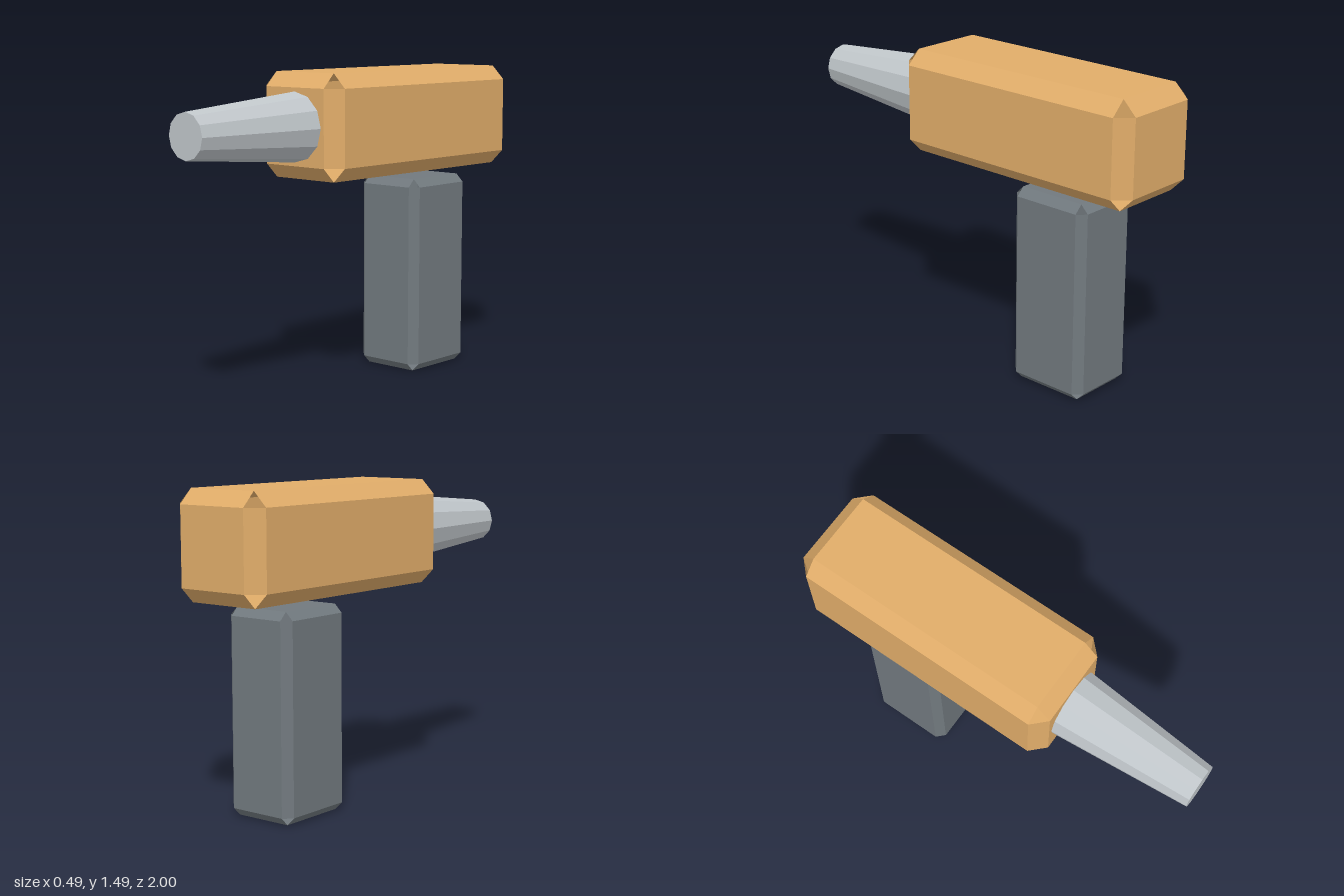
import * as THREE from 'three';

function material(name, color) {
  const m = new THREE.MeshStandardMaterial({ color, flatShading: true, side: THREE.DoubleSide });
  m.name = name;
  return m;
}

// Box with bevelled edges and open corners; size and bevel in units, centred on the origin.
function bevelledBox(size, bevel) {
  const half = size.map((s) => s / 2);
  const positions = [];
  // Adds a quad, turned so that it faces away from the centre.
  const quad = (corners) => {
    const [a, b, c, d] = corners.map((p) => new THREE.Vector3(...p));
    const normal = b.clone().sub(a).cross(c.clone().sub(a));
    const mid = a.clone().add(c);
    const order = normal.dot(mid) > 0 ? [a, b, c, a, c, d] : [a, c, b, a, d, c];
    for (const v of order) positions.push(v.x, v.y, v.z);
  };
  // Corner of the flat face on one axis: full extent there, inset on the others.
  const point = (signs, axis) => signs.map((s, i) => s * (half[i] - (i === axis ? 0 : bevel)));
  for (let u = 0; u < 3; u++) {
    const v = (u + 1) % 3, w = (u + 2) % 3;
    const signs = (a, b, c) => {
      const s = [0, 0, 0];
      s[u] = a; s[v] = b; s[w] = c;
      return s;
    };
    for (const a of [-1, 1]) {
      // flat face
      quad([[-1, -1], [1, -1], [1, 1], [-1, 1]].map(([b, c]) => point(signs(a, b, c), u)));
      // bevels between this face and the next axis' faces
      for (const b of [-1, 1]) {
        quad([
          point(signs(a, b, -1), u), point(signs(a, b, 1), u),
          point(signs(a, b, 1), v), point(signs(a, b, -1), v),
        ]);
      }
    }
  }
  const g = new THREE.BufferGeometry();
  g.setAttribute('position', new THREE.Float32BufferAttribute(positions, 3));
  g.computeVertexNormals();
  return g;
}

export function createModel() {
  const group = new THREE.Group();
  const add = (name, geometry, mat, x, y, z) => {
    const mesh = new THREE.Mesh(geometry, mat);
    mesh.name = name;
    mesh.position.set(x, y, z);
    group.add(mesh);
  };

  // Main housing
  add('body', bevelledBox([0.494, 0.494, 1.333], 0.067), material('tan', 0xe0ac69), 0, 1.243, -0.3335);

  // Grip hanging below the rear half
  add('grip', bevelledBox([0.36, 0.955, 0.415], 0.038), material('dark grey', 0x71797e), 0, 0.4775, -0.5225);

  // Tapered nozzle
  const nozzle = new THREE.CylinderGeometry(0.105, 0.162, 0.667, 12).rotateX(Math.PI / 2);
  add('nozzle', nozzle, material('light grey', 0xc0c6ca), 0, 1.243, 0.6665);

  return group;
}
